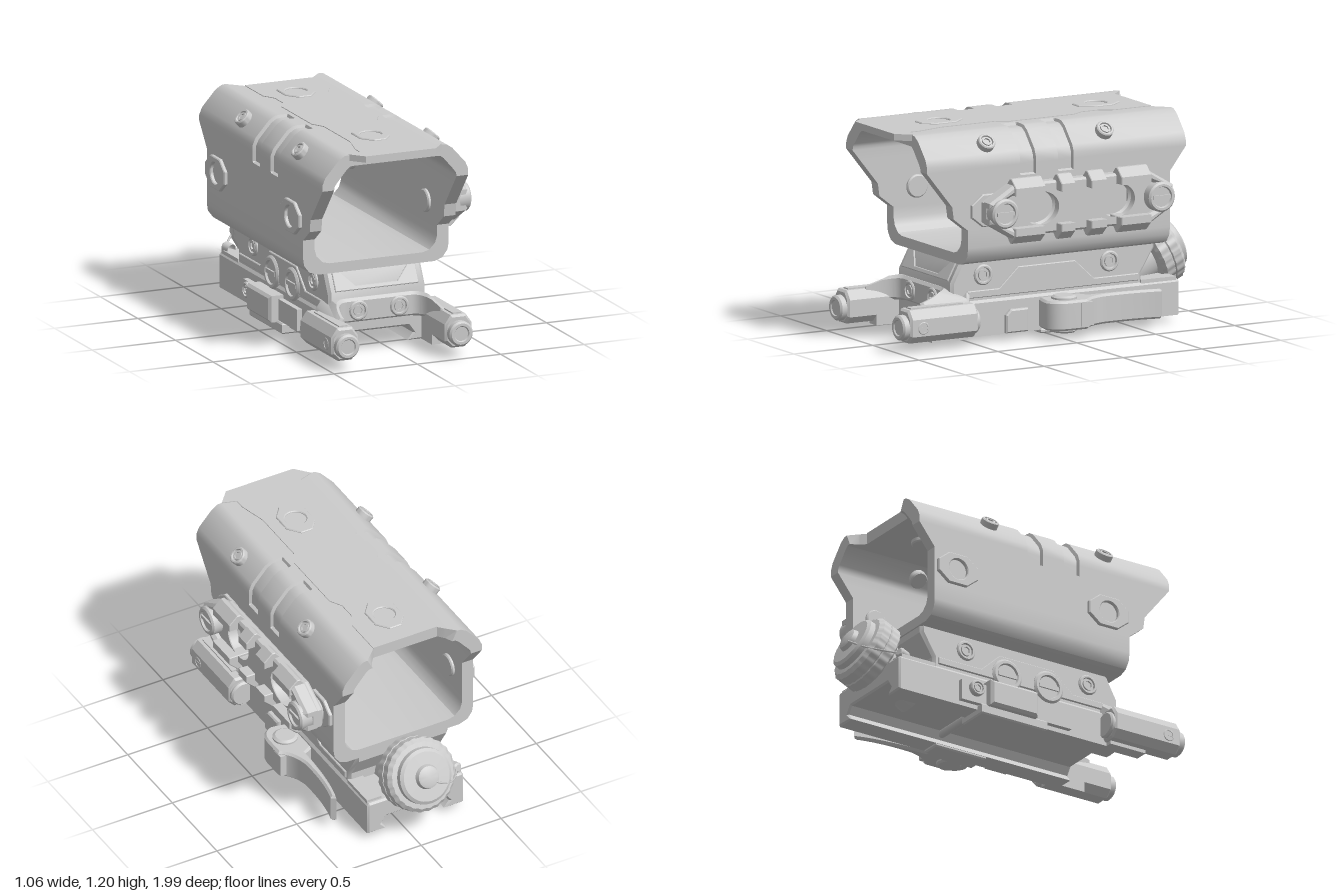
import * as THREE from 'three';
import { toCreasedNormals } from 'three/addons/utils/BufferGeometryUtils.js';

const C = -0.073; // x of the symmetry plane of the shroud and base
const V = (x, y, z) => new THREE.Vector3(x, y, z);
const UP = V(0, 1, 0);
const shapeOf = pts => new THREE.Shape(pts.map(p => new THREE.Vector2(p[0], p[1])));
const mirrored = half => [...half, ...half.map(([x, y]) => [-x, y]).reverse()];

// Bevelled extrusion from a to b along an axis; shape is (x,y) for z, (x,z) for y, (z,y) for x
function extrude(shape, a, b, axis = 'z', bevel = 0.008) {
  const g = new THREE.ExtrudeGeometry(shape, {
    depth: b - a - 2 * bevel, bevelEnabled: bevel > 0, bevelThickness: bevel,
    bevelSize: bevel, bevelOffset: -bevel, bevelSegments: 1, curveSegments: 20,
  });
  g.translate(0, 0, bevel);
  if (axis === 'z') g.translate(0, 0, a);
  if (axis === 'y') g.rotateX(Math.PI / 2).translate(0, b, 0);
  if (axis === 'x') g.rotateY(-Math.PI / 2).translate(b, 0, 0);
  return toCreasedNormals(g, 0.5);
}
const lathe = (pts, n = 32) =>
  toCreasedNormals(new THREE.LatheGeometry(pts.map(p => new THREE.Vector2(p[0], p[1])), n), 0.5);

function interp(table, y) {
  for (let i = 1; i < table.length; i++) {
    const [y0, v0] = table[i - 1], [y1, v1] = table[i];
    if (y <= y1) return v0 + (v1 - v0) * Math.max(0, (y - y0) / (y1 - y0));
  }
  return table[table.length - 1][1];
}

// Hollow shroud: paired outer and inner outlines swept along z, with cut ends and recessed slots
function shroudGeometry() {
  const half = [ // outer dx, y, inner dx, y
    [0, .457, 0, .514], [.35, .457, .28, .514], [.4, .475, .32, .525], [.43, .515, .355, .56], [.437, .56, .367, .6],
    [.437, .66, .367, .66], [.437, .73, .367, .73], [.437, .8, .367, .8], [.437, .87, .367, .87], [.437, .937, .367, .937],
    [.437, .945, .367, .945], [.437, 1, .367, 1], [.437, 1.035, .364, 1.02], [.42, 1.075, .35, 1.04], [.34, 1.165, .29, 1.11],
    [.305, 1.187, .27, 1.125], [.28, 1.19, .25, 1.127], [.235, 1.19, .23, 1.127], [.227, 1.19, .222, 1.127], [.2, 1.19, .2, 1.127], [0, 1.19, 0, 1.127]];
  const ring = [...half, ...half.slice(1, -1).reverse().map(([a, b, c, d]) => [-a, b, -c, d])];
  const front = [[.457, .61], [.66, .61], [.73, .7], [.8, .71], [1, .87]];
  const back = [[.457, -.67], [.87, -.67], [1, -.77]];
  const cuts = [[-.06, 0], [-.054, 1], [.034, 1], [.04, 0], [.18, 0], [.186, 1], [.274, 1], [.28, 0]];
  const rows = 12, n = ring.length, pos = [], idx = [];
  for (let r = 0; r < rows; r++) for (const [ox, oy, ix, iy] of ring) {
    const zf = interp(front, oy);
    const zb = oy > 1.18 ? interp([[.2, -.69], [.28, -.77]], Math.abs(ox)) : interp(back, oy);
    const inSlot = oy > .94 && Math.abs(ox) > .23;
    const z = r === 0 || r === 11 ? zb : r > 8 ? zf : cuts[r - 1][0];
    const t = r > 9 ? 1 : r > 0 && r < 9 && inSlot ? cuts[r - 1][1] * .25 : 0;
    pos.push(C + ox + (ix - ox) * t, oy + (iy - oy) * t, z);
  }
  for (let r = 0; r < rows; r++) for (let i = 0; i < n; i++) {
    const j = (i + 1) % n, s = (r + 1) % rows;
    const a = r * n + i, b = r * n + j, c = s * n + j, d = s * n + i;
    idx.push(a, b, c, a, c, d);
  }
  const g = new THREE.BufferGeometry();
  g.setAttribute('position', new THREE.Float32BufferAttribute(pos, 3));
  g.setIndex(idx);
  return toCreasedNormals(g, 0.5);
}

export function createModel() {
  const model = new THREE.Group();
  const mat = new THREE.MeshStandardMaterial({ color: 0xcccccc, side: THREE.DoubleSide });
  const add = (name, geo, parent = model) => {
    const m = new THREE.Mesh(geo, mat);
    m.name = name;
    parent.add(m);
    return m;
  };
  const box = (name, x0, x1, y0, y1, z0, z1) => add(name,
    new THREE.BoxGeometry(x1 - x0, y1 - y0, z1 - z0).translate((x0 + x1) / 2, (y0 + y1) / 2, (z0 + z1) / 2));
  // Group whose local y axis points along dir
  const mount = (name, p, dir) => {
    const g = new THREE.Group();
    g.name = name;
    g.position.copy(p);
    g.quaternion.setFromUnitVectors(UP, dir.clone().normalize());
    model.add(g);
    return g;
  };
  // Recessed screw head with either a hexagon socket or a slot bar
  const screw = (name, p, dir, r, h, slot = false) => {
    const g = mount(name, p, dir), b = r * .12;
    add('head', lathe([[r, -.02], [r, h - b], [r - b, h], [r * .72, h], [r * .66, h - .012], [0, h - .012]]), g);
    if (slot) add('slotBar', new THREE.BoxGeometry(r * .25, .012, r * 1.3).translate(0, h - .008, 0), g);
    else {
      const s = new THREE.Shape().absarc(0, 0, r * .55, 0, Math.PI * 2);
      s.holes.push(new THREE.Path(Array.from({ length: 6 }, (_, i) =>
        new THREE.Vector2(Math.cos(i * Math.PI / 3), Math.sin(i * Math.PI / 3)).multiplyScalar(r * .38))));
      add('hexSocket', extrude(s, h - .014, h - .002, 'y', 0), g);
    }
  };
  // Octagonal threaded insert, with its boss inside the shroud
  const insert = (name, p, dir, h) => {
    const g = mount(name, p, dir);
    const s = shapeOf([[.09, -.06], [.09, .06], [.05, .11], [.035, .13], [-.035, .13], [-.05, .11],
      [-.09, .06], [-.09, -.06], [-.05, -.11], [-.035, -.13], [.035, -.13], [.05, -.11]]);
    s.holes.push(new THREE.Path().absarc(0, 0, .06, 0, Math.PI * 2, true));
    add('plate', extrude(s, -.012, h, 'y', .005), g);
    add('boss', lathe([[0, -.088], [.058, -.088], [.065, -.081], [.065, -.05]]), g);
  };

  // Shroud and raised roof panel with front lip
  add('shroud', shroudGeometry());
  const roof = mirrored([[.21, .945], [.28, .865], [.2, .84], [.2, .78], [.16, .62], [.16, .27], [.2, .2],
    [.2, -.2], [.16, -.27], [.16, -.38], [.2, -.45], [.2, -.69]]);
  add('roofPanel', extrude(shapeOf(roof), 1.158, 1.194, 'y', 0).translate(C, 0, 0));
  for (const z of [-.455, .54]) insert('roofInsert', V(C, 1.19, z), UP, .012);
  for (const s of [-1, 1]) for (const z of [-.525, .465]) {
    insert('sideInsert', V(C + s * .437, .765, z), V(s, 0, 0), .02);
    const zz = z < 0 ? -.28 : .47, d = V(s, 1.05, 0);
    screw('shoulderScrew', V(C + s * .386, 1.122, zz), d, .05, .03);
    const boss = mount('shoulderBoss', V(C + s * .323, 1.075, zz), d);
    add('bossCap', lathe([[0, -.035], [.044, -.035], [.05, -.028], [.05, .01]], 24), boss);
  }

  // Side accessory rail: octagonal plate with holes, teeth above and below, end bolts
  const plate = shapeOf([[.39, .91], [.55, .82], [.55, .71], [.39, .62], [-.45, .62], [-.61, .71], [-.61, .82], [-.45, .91]]);
  for (const z of [.21, -.27]) plate.holes.push(new THREE.Path().absellipse(z, .765, .128, .105, 0, Math.PI * 2, true));
  add('railPlate', extrude(plate, .395, .47, 'x', .012));
  const toothSection = [[.39, .11], [.455, .18], [.475, .18], [.525, .133], [.525, .09], [.39, .09]];
  for (const s of [-1, 1]) {
    const section = shapeOf(toothSection.map(([x, v]) => [x, .765 + s * v]));
    for (const [a, b] of [[.21, .4], [.02, .11], [-.18, -.08], [-.46, -.27]]) add('railTooth', extrude(section, a, b, 'z', .004));
    for (const t of [[[.38, .16], [.55, .06], [.55, .03], [.38, .1]], [[-.44, .16], [-.61, .06], [-.61, .03], [-.44, .1]]])
      add('railCorner', extrude(shapeOf(t.map(([z, v]) => [z, .765 + s * v])), .415, .51, 'x', .018));
  }
  for (const z of [.465, -.525]) {
    const spacer = mount('railSpacer', V(.36, .765, z), V(1, 0, 0));
    add('spacer', new THREE.CylinderGeometry(.07, .07, .12, 32).translate(0, .06, 0), spacer);
    screw('railBolt', V(.44, .765, z), V(1, 0, 0), .083, .093, true);
  }

  // Base: upper riser sloped at both ends, lower block with dovetail channel
  const riserSide = shapeOf([[.555, .48], [.63, .34], [.63, .2], [-.58, .2], [-.58, .29], [-.66, .42], [-.66, .48]]);
  add('riser', extrude(riserSide, C - .29, C + .29, 'x', .016));
  const lower = mirrored([[.29, .235], [.302, .22], [.302, .035], [.18, .035], [.212, .075], [.182, .117]]);
  add('dovetailBase', extrude(shapeOf(lower), -.81, .64, 'z', .01)).position.x = C;
  const panel = shapeOf([[.53, .29], [.33, .29], [.21, .4], [-.15, .4], [-.27, .29], [-.55, .29], [-.55, .25], [.53, .25]]);
  for (const s of [-1, 1]) {
    add('riserPanel', extrude(panel, -.012, .012, 'x', .004)).position.x = C + s * .288;
    for (const z of [.43, -.37]) screw('riserScrew', V(C + s * .29, .375, z), V(s, 0, 0), .058, .014);
  }
  const trim = add('frontTrim', extrude(shapeOf([[-.25, .1], [-.2, .1], [-.125, .015], [.125, .015], [.2, .1], [.25, .1], [.25, -.01], [-.25, -.01]]), 0, .014, 'z', .004));
  trim.position.set(C, .355, .614);
  trim.rotation.x = -.49;

  // Front yoke curving forward into the two side tubes, its top falling away outward and forward
  const yoke = new THREE.Shape();
  yoke.moveTo(-.27, .5);
  yoke.lineTo(.27, .5).lineTo(.345, .55).lineTo(.345, .83).lineTo(.29, .83).quadraticCurveTo(.275, .65, .19, .65);
  yoke.lineTo(-.19, .65).quadraticCurveTo(-.275, .65, -.29, .83).lineTo(-.345, .83).lineTo(-.345, .55);
  const yokeGeo = extrude(yoke, .17, .31, 'y', .015), yp = yokeGeo.attributes.position;
  for (let i = 0; i < yp.count; i++) if (yp.getY(i) > .24) {
    const drop = .9 * Math.max(0, Math.abs(yp.getX(i)) - .275) + .15 * Math.max(0, yp.getZ(i) - .64);
    yp.setY(i, yp.getY(i) - drop);
  }
  add('frontYoke', toCreasedNormals(yokeGeo, 0.5)).position.x = C;
  for (const x of [-.195, .05]) screw('yokeBolt', V(x, .24, .645), V(0, 0, 1), .056, .015);
  for (const s of [-1, 1]) {
    const x = C + s * .34;
    const oct = mirrored([[.04, -.085], [.08, -.045], [.08, .05], [.045, .1]]);
    add('sideTube', extrude(shapeOf(oct), .53, .96, 'z', .012)).position.set(x, .14, 0);
    add('tubeCap', lathe([[.07, 0], [.07, .04], [.06, .05], [.045, .05], [.04, .043], [0, .043]]).rotateX(Math.PI / 2)).position.set(x, .14, .95);
    add('tubeEnd', lathe([[0, -.02], [.065, -.02], [.074, -.01], [.074, .03]]).rotateX(Math.PI / 2)).position.set(x, .14, .53);
    screw('tubeScrew', V(x + s * .075, .14, .88), V(s, 0, 0), .036, .008, true);
    box('tubeRib', x - .025, x + .025, .22, .247, .6, .93);
    box('tubeFoot', x - s * .04 - .04, x - s * .04 + .04, .035, .12, .55, .78);
  }

  // Quick-release lever on the left side
  const lever = new THREE.Shape();
  lever.moveTo(.22, .08);
  lever.lineTo(.33, .1).quadraticCurveTo(.41, .08, .41, -.02).lineTo(.41, -.13).quadraticCurveTo(.345, -.17, .325, -.28);
  lever.quadraticCurveTo(.315, -.48, .355, -.62).lineTo(.33, -.64).quadraticCurveTo(.28, -.5, .275, -.2).lineTo(.22, -.17);
  add('lever', extrude(lever, .05, .215, 'y', .012));
  add('leverPivot', lathe([[0, .03], [.06, .03], [.07, .04], [.07, .225], [.055, .235], [0, .235]])).position.set(.31, 0, -.03);
  box('leverRib', .35, .412, .07, .2, -.16, -.08);
  add('sideLug', extrude(shapeOf([[.16, .04], [.3, .04], [.3, .14], [.27, .17], [.16, .17]]), .2, .255, 'x'));

  // Clamp block, nut and large screws on the right side, and clamp feet below
  add('clampBlock', extrude(shapeOf([[-.26, .05], [.05, .05], [.05, .2], [-.26, .2]]), -.46, -.36, 'x', .015));
  box('clampBar', -.405, -.36, .06, .18, -.42, .3);
  screw('clampNut', V(-.405, .14, -.33), V(-1, 0, 0), .045, .03);
  for (const z of [-.105, .167]) screw('largeScrew', V(-.365, .29, z), V(-1, 0, 0), .095, .022, true);
  add('clampFoot', extrude(shapeOf([[-.42, -.3], [-.225, -.3], [-.225, .13], [-.42, .13]]), 0, .06, 'y'));
  add('leverFoot', extrude(shapeOf([[.11, -.25], [.22, -.25], [.25, -.12], [.25, .08], [.11, .08]]), .018, .045, 'y'));
  add('crossBolt', new THREE.CylinderGeometry(.025, .025, .44, 16).rotateZ(Math.PI / 2)).position.set(C, .11, -.2);

  // Tilted battery cap at the back: neck, fluted ring, stepped cover
  const knob = mount('batteryCap', V(C, .318, -.755), V(0, .42, -.91));
  add('neck', new THREE.CylinderGeometry(.13, .13, .3, 32).translate(0, -.13, 0), knob);
  const ring = new THREE.LatheGeometry([[.12, 0], [.185, 0], [.207, .015], [.207, .065], [.2, .071], [.207, .077], [.207, .125], [.187, .147], [.15, .152]]
    .map(p => new THREE.Vector2(...p)), 144);
  const kp = ring.attributes.position;
  for (let i = 0; i < kp.count; i++) {
    const x = kp.getX(i), z = kp.getZ(i), r = Math.hypot(x, z);
    const k = r > .18 ? 1 + .012 * Math.cos(24 * Math.atan2(z, x)) : 1;
    kp.setXYZ(i, x * k, kp.getY(i), z * k);
  }
  add('flutedRing', toCreasedNormals(ring, 0.6), knob);
  add('cover', lathe([[.16, .14], [.157, .182], [.14, .195], [.07, .198], [.062, .222], [.05, .228], [0, .228]]), knob);
  for (const s of [-1, 1]) box('rearBracket', C + s * .25 - .045, C + s * .25 + .045, .2, .25, -.79, -.57);
  const post = mount('tetherPost', V(-.335, .26, -.76), V(-.3, .2, -1));
  add('post', lathe([[.03, -.02], [.03, .03], [.02, .04], [0, .04]], 16), post);
  const cord = new THREE.CatmullRomCurve3([V(C, .4, -.96), V(-.14, .36, -.975), V(-.22, .31, -.935), V(-.29, .28, -.865), V(-.335, .265, -.79)]);
  add('tether', new THREE.TubeGeometry(cord, 24, .006, 6));
  return model;
}
